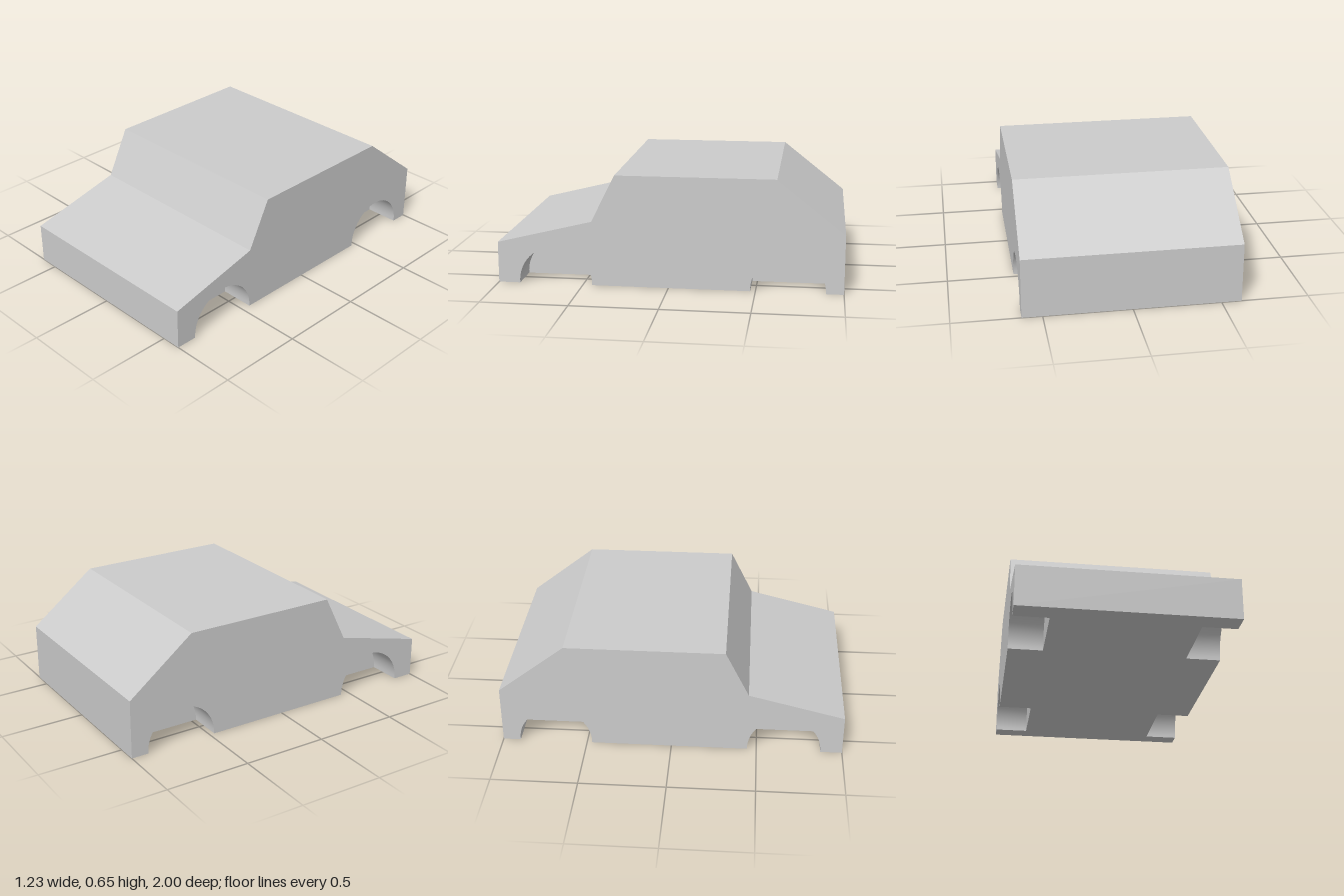
import * as THREE from 'three';

const HALF = 0.615;            // half body width
const INNER = 0.415;           // where the wheel recesses end
const R = 0.214, HUB_Y = 0.01; // wheel arch radius and centre height
const ARCHES = { front: 0.66, rear: -0.684 };

// Side profile as [z, y], from the rear bottom over the roof to the front bottom
const PROFILE = [[-1, 0], [-1, 0.346], [-0.612, 0.652], [0.308, 0.652], [0.445, 0.378], [1, 0.241], [1, 0]];

// Arch curve as [z, y], from its front foot over the top to its rear foot
function archPath(zc, n = 32) {
  const a0 = -Math.asin(HUB_Y / R);
  return Array.from({ length: n + 1 }, (_, i) => {
    const a = a0 + (Math.PI - 2 * a0) * i / n;
    return [zc + R * Math.cos(a), HUB_Y + R * Math.sin(a)];
  });
}

// Strip of quads that sweeps a [z, y] path from x0 to x1
function band(path, x0, x1) {
  const g = new THREE.PlaneGeometry(1, 1, 1, path.length - 1);
  const p = g.attributes.position;
  path.forEach(([z, y], i) => {
    p.setXYZ(2 * i, x0, y, z);
    p.setXYZ(2 * i + 1, x1, y, z);
  });
  g.computeVertexNormals();
  return g;
}

// Flat wall outlined by [z, y] points, facing +x
function wall(points, x) {
  const shape = new THREE.Shape(points.map(([z, y]) => new THREE.Vector2(-z, y)));
  return new THREE.ShapeGeometry(shape).rotateY(Math.PI / 2).translate(x, 0, 0);
}

// Copy across x = 0, with the corner order turned round
function mirrored(geometry) {
  const g = geometry.clone().scale(-1, 1, 1);
  g.setIndex(Array.from(g.index.array).reverse());
  return g;
}

export function createModel() {
  const model = new THREE.Group();
  model.name = 'carBody';
  const material = new THREE.MeshStandardMaterial({ color: 0xcccccc });

  const add = (name, geometry) => {
    const mesh = new THREE.Mesh(geometry, material);
    mesh.name = name;
    model.add(mesh);
  };
  const addPair = (name, geometry) => {
    add('left' + name, geometry);
    add('right' + name, mirrored(geometry));
  };

  // Tail, rear window, roof, windscreen, bonnet and nose
  const skin = band(PROFILE, -HALF, HALF).toNonIndexed();
  skin.computeVertexNormals();
  add('bodySkin', skin);

  // Side panels with both arches cut out
  const arches = Object.values(ARCHES).map((z) => archPath(z));
  addPair('SidePanel', wall([...PROFILE, ...arches[0], ...arches[1]], HALF));

  // Wheel recesses: curved lining and flat inner wall
  Object.keys(ARCHES).forEach((end, i) => {
    const label = end === 'front' ? 'Front' : 'Rear';
    addPair(label + 'WheelArch', band(arches[i], INNER, HALF));
    addPair(label + 'RecessWall', wall(arches[i], INNER));
  });

  // Floor, notched at the four recesses
  const edge = [[HALF, 1]];
  for (const path of arches) {
    const zFront = path[0][0], zRear = path[path.length - 1][0];
    edge.push([HALF, zFront], [INNER, zFront], [INNER, zRear], [HALF, zRear]);
  }
  edge.push([HALF, -1]);
  const outline = [...edge, ...edge.map(([x, z]) => [-x, z]).reverse()];
  const floor = new THREE.Shape(outline.map(([x, z]) => new THREE.Vector2(x, z)));
  add('floor', new THREE.ShapeGeometry(floor).rotateX(Math.PI / 2));

  return model;
}
